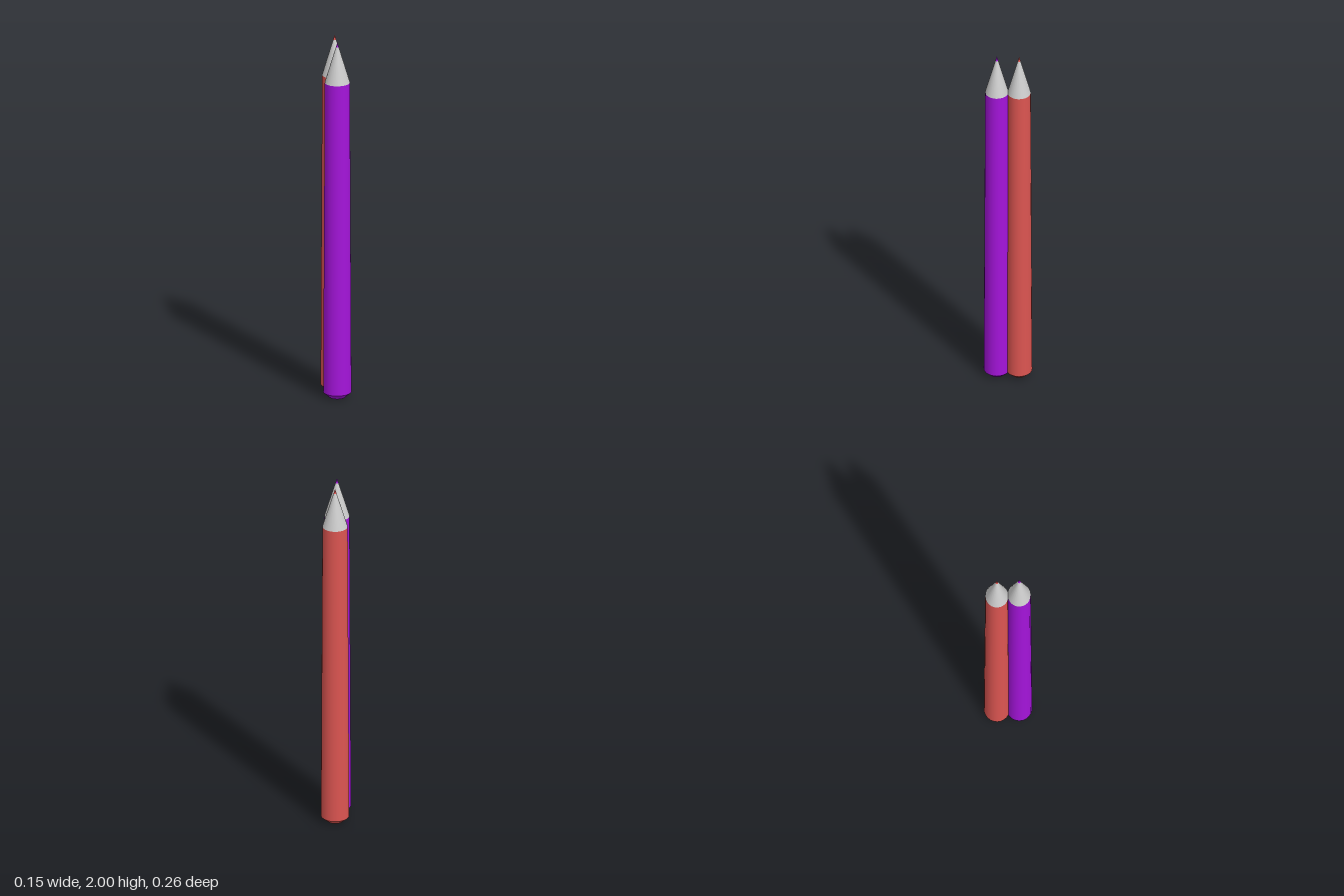
import * as THREE from 'three';

const SIDES = 24;

function createPencil(name, color, z) {
  const pencil = new THREE.Group();
  pencil.name = name;
  const paint = new THREE.MeshStandardMaterial({ color });
  const wood = new THREE.MeshStandardMaterial({ color: 0xcccccc });

  // one round section between two heights
  const section = (part, rBottom, rTop, y0, y1, material, open) => {
    const geometry = new THREE.CylinderGeometry(rTop, rBottom, y1 - y0, SIDES, 1, open);
    geometry.translate(0, (y0 + y1) / 2, 0);
    const mesh = new THREE.Mesh(geometry, material);
    mesh.name = part;
    pencil.add(mesh);
  };

  // bevelled butt end with its flat base
  section('buttBevel', 0.04, 0.075, 0, 0.03, paint, false);
  // long, slightly tapering painted shaft
  section('shaft', 0.075, 0.067, 0.03, 1.775, paint, true);
  // sharpened bare cone
  section('sharpenedCone', 0.067, 0.008, 1.775, 1.973, wood, true);
  // coloured lead point
  section('leadTip', 0.008, 0, 1.973, 2, paint, true);

  // slightly oval cross-section
  pencil.scale.z = 0.925;
  pencil.position.z = z;
  return pencil;
}

export function createModel() {
  const model = new THREE.Group();
  model.name = 'pencilPair';
  model.add(createPencil('purplePencil', 0xa414da, 0.059));
  model.add(createPencil('redPencil', 0xdc5551, -0.059));
  return model;
}
